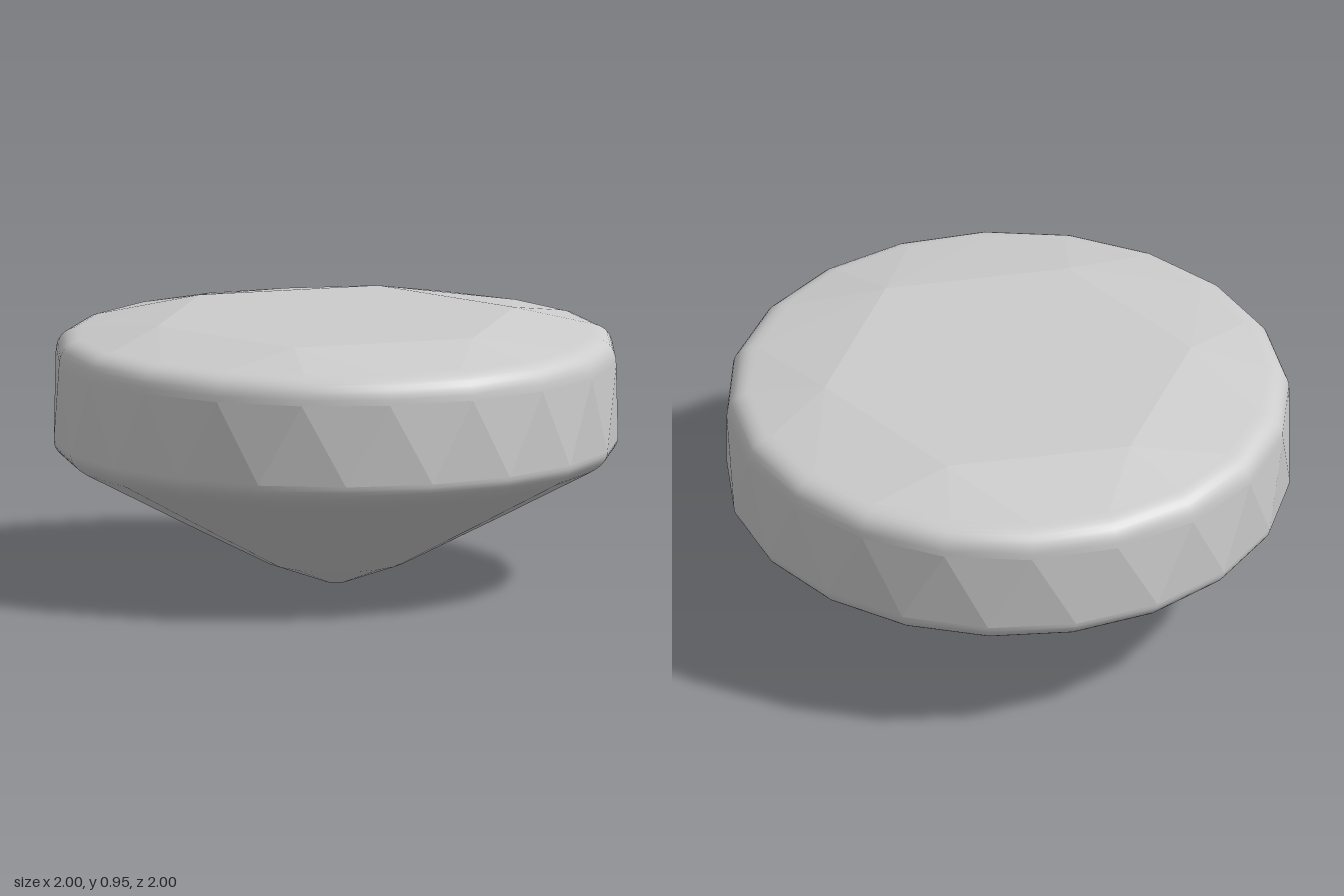
import * as THREE from 'three';

const SIDES = 20;
const STEP = (Math.PI * 2) / SIDES;

// point on a horizontal ring; angle 0 faces the front
const polar = (r, y, a) => [r * Math.sin(a), y, r * Math.cos(a)];
const ring = (r, y, n, offset = 0) =>
  Array.from({ length: n }, (_, i) => polar(r, y, offset + (i * Math.PI * 2) / n));

function makeGeometry(points, index, flat) {
  let geo = new THREE.BufferGeometry();
  geo.setAttribute('position', new THREE.Float32BufferAttribute(points.flat(), 3));
  geo.setIndex(index);
  if (flat) geo = geo.toNonIndexed();
  geo.computeVertexNormals();
  return geo;
}

// skin over [radius, y] rings, listed from bottom to top
function loft(profile, offset, flat = false) {
  const points = profile.flatMap(([r, y]) => ring(r, y, SIDES, offset));
  const index = [];
  for (let k = 0; k < profile.length - 1; k++) {
    for (let i = 0; i < SIDES; i++) {
      const j = (i + 1) % SIDES;
      const a = k * SIDES + i, b = k * SIDES + j;
      index.push(a, b, b + SIDES, a, b + SIDES, a + SIDES);
    }
  }
  return makeGeometry(points, index, flat);
}

// girdle: alternating triangles between two rings half a step apart
function girdleGeometry(y0, y1) {
  const points = [...ring(1, y0, SIDES, STEP / 2), ...ring(1, y1, SIDES)];
  const index = [];
  for (let i = 0; i < SIDES; i++) {
    const j = (i + 1) % SIDES;
    index.push(i, SIDES + j, SIDES + i);
    index.push(i, j, SIDES + j);
  }
  return makeGeometry(points, index, true);
}

// crown: flat facets from the rim to a hexagon
function crownGeometry(rimR, rimY, hexR, hexY) {
  const points = [...ring(rimR, rimY, SIDES), ...ring(hexR, hexY, 6)];
  const nearest = (i) => Math.round(((i + 0.5) * 6) / SIDES) % 6;
  const index = [];
  for (let i = 0; i < SIDES; i++) {
    const j = (i + 1) % SIDES;
    const h = SIDES + nearest(i), next = SIDES + nearest(j);
    index.push(i, j, h);
    if (next !== h) index.push(h, j, next);
  }
  return makeGeometry(points, index, true);
}

// quarter-like rounded edge between two [radius, y] points
function rounded(from, control, to, n = 8) {
  const v = (p) => new THREE.Vector2(...p);
  return new THREE.QuadraticBezierCurve(v(from), v(control), v(to))
    .getPoints(n)
    .map((p) => [p.x, p.y]);
}

export function createModel() {
  const group = new THREE.Group();
  const stone = new THREE.MeshStandardMaterial({ color: 0xcccccc });
  stone.name = 'greyStone';

  const add = (name, geometry) => {
    const mesh = new THREE.Mesh(geometry, stone);
    mesh.name = name;
    group.add(mesh);
    return mesh;
  };

  // flat hexagonal top
  const table = new THREE.CircleGeometry(0.66, 6, Math.PI / 2);
  table.rotateX(-Math.PI / 2).translate(0, 0.95, 0);
  add('table', table);

  // sloping top facets and the rounded shoulder
  add('crown', crownGeometry(0.91, 0.897, 0.66, 0.95));
  add('upperEdge', loft(rounded([1, 0.8], [1, 0.885], [0.91, 0.897]), 0));

  // faceted side wall
  add('girdle', girdleGeometry(0.51, 0.8));

  // rounded lower edge running into the cone
  const lower = rounded([0.92, 0.425], [1, 0.465], [1, 0.51]);
  add('pavilion', loft([[0.25, 0.075], [0.6, 0.256], ...lower], STEP / 2));

  // blunt point
  add('tip', loft([[0.04, 0], [0.25, 0.075]], STEP / 2));
  const point = new THREE.CircleGeometry(0.04, SIDES, STEP / 2);
  point.rotateX(Math.PI / 2);
  add('tipEnd', point);

  return group;
}
